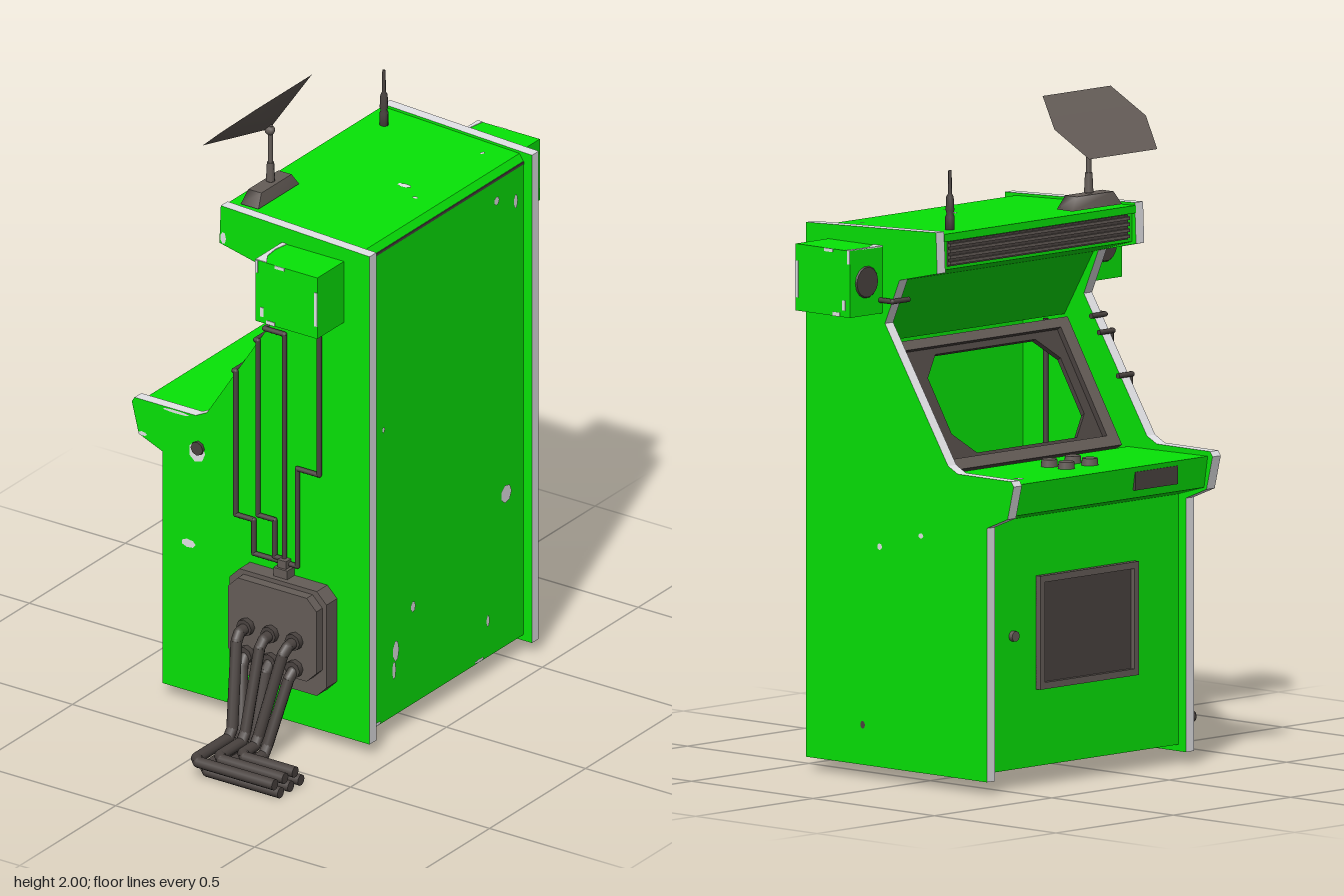
import * as THREE from 'three';

const mat = (name, color) => Object.assign(new THREE.MeshStandardMaterial({ color }), { name });

export function createModel() {
  const green = mat('green paint', 0x06e406);
  const grey = mat('bare metal', 0xe8e8ec);
  const dark = mat('dark metal', 0x655d58);
  const black = mat('blackened metal', 0x4a4340);
  const root = new THREE.Group();
  const V = (a) => new THREE.Vector3(...a);

  const add = (name, geo, material, pos = [0, 0, 0], parent = root) => {
    const m = new THREE.Mesh(geo, material);
    m.name = name;
    m.position.set(...pos);
    parent.add(m);
    return m;
  };
  const box = (name, material, x0, x1, y0, y1, z0, z1) =>
    add(name, new THREE.BoxGeometry(x1 - x0, y1 - y0, z1 - z0), material,
      [(x0 + x1) / 2, (y0 + y1) / 2, (z0 + z1) / 2]);
  const shapeOf = (pts) => new THREE.Shape(pts.map((p) => new THREE.Vector2(...p)));
  const slab = (name, pts, z0, z1, material) =>
    add(name, new THREE.ExtrudeGeometry(shapeOf(pts), { depth: z1 - z0, bevelEnabled: false }),
      material, [0, 0, z0]);
  // rectangle with cut corners
  const octagon = (x0, x1, y0, y1, c) => [[x0 + c, y0], [x1 - c, y0], [x1, y0 + c], [x1, y1 - c],
    [x1 - c, y1], [x0 + c, y1], [x0, y1 - c], [x0, y0 + c]];

  // straight pipe runs with ball joints
  const pipe = (name, pts, r) => {
    const g = new THREE.Group();
    g.name = name;
    root.add(g);
    const p = pts.map(V);
    for (let i = 0; i + 1 < p.length; i++) {
      const d = p[i + 1].clone().sub(p[i]);
      const m = add('run', new THREE.CylinderGeometry(r, r, d.length(), 10), black,
        p[i].clone().addScaledVector(d, 0.5).toArray(), g);
      m.quaternion.setFromUnitVectors(new THREE.Vector3(0, 1, 0), d.normalize());
      if (i) add('joint', new THREE.SphereGeometry(r, 10, 6), black, pts[i], g);
    }
  };

  // side panels: green faces, bare metal edges
  const side = [[-0.32, 0.04], [0.425, 0.04], [0.425, 1.64], [-0.11, 1.663], [-0.115, 1.54],
    [0.04, 1.505], [0.1, 1.37], [-0.16, 0.97], [-0.2, 0.95], [-0.42, 0.95], [-0.43, 0.935],
    [-0.405, 0.835], [-0.32, 0.8]];
  slab('sidePanel', side, 0.257, 0.292, [green, grey]);
  slab('sidePanel', side, -0.59, -0.555, [green, grey]);

  // cabinet body with a deep open screen bay
  slab('cabinetBody', [[-0.29, 0.06], [0.395, 0.06], [0.395, 1.61], [0.38, 1.634], [-0.113, 1.655],
    [-0.113, 1.632], [-0.098, 1.63], [-0.098, 1.545], [0.06, 1.5], [0.18, 1.3], [0.35, 1.28],
    [0.35, 0.6], [-0.08, 0.6], [-0.08, 0.93], [-0.41, 0.935], [-0.395, 0.84], [-0.29, 0.81]],
  -0.556, 0.258, green);
  box('backTopSeam', black, 0.385, 0.397, 1.604, 1.612, -0.555, 0.257);

  // screen bezel on the slope: plate with a cut-corner opening and a raised rim
  const up = new THREE.Vector3(0.23, 0.37, 0).normalize();
  const out = new THREE.Vector3(-up.y, up.x, 0);
  const bezelPart = (name, hole, from, depth, material) => {
    const s = shapeOf([[-0.405, -0.01], [0.38, -0.01], [0.38, 0.415], [-0.405, 0.415]]);
    s.holes.push(new THREE.Path(hole.map((p) => new THREE.Vector2(...p))));
    const m = add(name, new THREE.ExtrudeGeometry(s, { depth, bevelEnabled: false }), material);
    m.quaternion.setFromRotationMatrix(
      new THREE.Matrix4().makeBasis(new THREE.Vector3(0, 0, 1), up, out));
    m.position.set(-0.05, 0.93, -0.149).addScaledVector(out, from);
  };
  bezelPart('screenBezel', octagon(-0.265, 0.3, 0.04, 0.365, 0.07), 0, 0.015, black);
  bezelPart('screenRim', [[-0.35, 0.025], [0.335, 0.025], [0.335, 0.385], [-0.35, 0.385]],
    0.014, 0.018, [dark, black]);

  // marquee grille, tucked under the roof lip
  box('grillePanel', black, -0.104, -0.09, 1.555, 1.629, -0.53, 0.235);
  for (let i = 0; i < 4; i++) {
    const y = 1.56 + i * 0.018;
    box('grilleBar', dark, -0.111, -0.1, y, y + 0.009, -0.53, 0.235);
  }

  // control buttons and front plate
  for (const x of [-0.27, -0.2]) for (const z of [-0.2, -0.1]) {
    add('button', new THREE.CylinderGeometry(0.024, 0.026, 0.022, 12), dark, [x, 0.943, z]);
  }
  box('controlPlate', black, -0.41, -0.395, 0.865, 0.92, -0.05, 0.13);

  // coin door
  box('doorPanel', black, -0.295, -0.285, 0.29, 0.63, -0.35, 0.07);
  for (const y of [0.29, 0.61]) box('doorFrame', dark, -0.308, -0.288, y, y + 0.02, -0.35, 0.07);
  for (const z of [-0.35, 0.05]) box('doorFrame', dark, -0.308, -0.288, 0.29, 0.63, z, z + 0.02);
  const lock = add('doorLock', new THREE.CylinderGeometry(0.016, 0.016, 0.02, 10), dark,
    [-0.294, 0.46, -0.45]);
  lock.rotation.z = Math.PI / 2;

  // speaker boxes on both sides, with worn edges
  for (const s of [1, -1]) {
    const zc = s > 0 ? 0.36 : -0.658;
    box('speakerBox', green, 0.11, 0.333, 1.4, 1.6, zc - 0.071, zc + 0.071);
    const cone = add('speakerCone', new THREE.CylinderGeometry(0.045, 0.05, 0.006, 14), black,
      [0.109, 1.5, zc]);
    cone.rotation.z = Math.PI / 2;
    const worn = slab('speakerWornTop', [[0.11, -0.07], [0.128, -0.07], [0.12, -0.02],
      [0.126, 0.03], [0.15, 0.07], [0.11, 0.07]], -0.002, 0.002, grey);
    worn.rotation.x = Math.PI / 2;
    worn.position.set(0, 1.602, zc);
    const f = zc + s * 0.071;
    const strips = [[0.322, 0.333, 1.44, 1.55], [0.18, 0.215, 1.59, 1.6], [0.128, 0.14, 1.42, 1.45],
      [0.11, 0.12, 1.56, 1.6], [0.15, 0.18, 1.4, 1.412]];
    for (const [x0, x1, y0, y1] of strips) {
      box('speakerWornSide', grey, x0, x1, y0, y1, f - 0.002, f + 0.002);
    }
  }
  pipe('speakerCable', [[0.12, 1.44, -0.6], [0.06, 1.44, -0.6], [0.06, 1.44, -0.53]], 0.008);

  // six sided dish on a stand: flat face, smooth shallow back
  const rim = [[-0.095, 1.915, -0.07], [0.002, 2, -0.02], [0.002, 2, 0.27], [-0.095, 1.915, 0.32],
    [-0.19, 1.83, 0.27], [-0.19, 1.83, -0.02]];
  const dishGeo = new THREE.BufferGeometry();
  dishGeo.setAttribute('position', new THREE.Float32BufferAttribute(
    [...rim, [-0.095, 1.915, 0.125], ...rim, [-0.05, 1.865, 0.125]].flat(), 3));
  const faces = [];
  rim.forEach((_, i) => {
    const j = (i + 1) % 6;
    faces.push(j, i, 6, i + 7, j + 7, 13);
  });
  dishGeo.setIndex(faces);
  dishGeo.computeVertexNormals();
  add('dish', dishGeo, dark);
  add('dishPost', new THREE.CylinderGeometry(0.007, 0.009, 0.2, 8), dark, [-0.043, 1.78, 0.13]);
  add('dishCollar', new THREE.CylinderGeometry(0.011, 0.014, 0.06, 8), dark, [-0.043, 1.73, 0.13]);
  add('dishJoint', new THREE.SphereGeometry(0.016, 8, 6), dark, [-0.045, 1.865, 0.13]);
  const foot = add('dishFoot', new THREE.CylinderGeometry(0.74, 1, 0.04, 4), dark,
    [-0.043, 1.677, 0.133]);
  foot.geometry.rotateY(Math.PI / 4);
  foot.geometry.scale(0.045, 1, 0.15);
  foot.geometry.computeVertexNormals();

  // whip antenna
  add('antenna', new THREE.LatheGeometry([[0, 0], [0.014, 0], [0.014, 0.04], [0.01, 0.05],
    [0.013, 0.06], [0.011, 0.1], [0.006, 0.11], [0.005, 0.18], [0, 0.18]]
    .map((p) => new THREE.Vector2(...p)), 8), black, [-0.042, 1.65, -0.46]);

  // junction box
  slab('junctionBox', octagon(-0.04, 0.308, 0.18, 0.522, 0.035), 0.29, 0.347, dark);
  slab('junctionCover', octagon(-0.025, 0.293, 0.235, 0.508, 0.035), 0.346, 0.378, dark);
  box('junctionConnector', dark, 0.105, 0.155, 0.52, 0.55, 0.292, 0.33);
  box('junctionConnector', dark, 0.115, 0.145, 0.55, 0.575, 0.295, 0.322);

  // heavy hoses sweeping to the floor and off to the side
  for (let i = 0; i < 3; i++) {
    const x = 0.045 + i * 0.087, xf = 0.078 + i * 0.047;
    for (const [y, zo, yf, xo, zEnd] of [[0.36, 0.42, 0.058, 0, 0.71], [0.27, 0.39, 0.02, 0.012, 0.68]]) {
      const zf = zEnd - i * 0.053, xb = xf + xo;
      pipe('hose', [[x, y, 0.36], [x, y - 0.005, zo], [x + (xb - x) * 0.1, y - 0.025, zo + 0.02],
        [xb, yf + 0.025, zo + 0.085], [xb, yf, zo + 0.105], [xb, yf, zf - 0.02],
        [xb + 0.02, yf, zf], [0.373, yf, zf]], 0.0175);
      const nut = add('hoseNut', new THREE.CylinderGeometry(0.027, 0.027, 0.025, 8), black, [x, y, 0.385]);
      nut.rotation.x = Math.PI / 2;
    }
  }

  // thin conduits, three of them wrapping over the sloped edge
  const z = 0.301, zi = 0.24;
  const conduits = [
    [[-0.056, 1.14, zi], [-0.056, 1.14, z], [-0.05, 1.14, z], [-0.05, 0.67, z], [0.015, 0.67, z],
      [0.015, 0.56, z], [0.12, 0.56, z]],
    [[0.022, 1.262, zi], [0.022, 1.262, z], [0.03, 1.262, z], [0.03, 0.69, z], [0.09, 0.69, z],
      [0.09, 0.57, z], [0.12, 0.57, z]],
    [[0.054, 1.308, zi], [0.054, 1.308, z], [0.125, 1.308, z], [0.125, 0.56, z]],
    [[0.25, 1.42, z], [0.25, 0.88, z], [0.172, 0.88, z], [0.172, 0.56, z], [0.14, 0.56, z]],
    [[0.25, 1.28, 0.25], [0.25, 0.88, 0.25], [0.172, 0.88, 0.25], [0.172, 0.6, 0.25]],
  ];
  conduits.forEach((p) => pipe('conduit', p, 0.008));

  // worn spots: facing axis, position, half sizes
  const turns = { x: [0, Math.PI / 2], y: [-Math.PI / 2, 0], z: [0, 0], '-z': [0, Math.PI] };
  const spot = (axis, pos, w, h, material = grey) => {
    const m = add('wornSpot', new THREE.CircleGeometry(1, 7), material, pos);
    m.scale.set(w, h, 1);
    m.rotation.set(...turns[axis], 0);
  };
  const backSpots = [[0.56, -0.46, 0.028, 0.03], [0.27, 0.115, 0.016, 0.035], [0.21, 0.125, 0.01, 0.03],
    [0.38, 0.025, 0.012, 0.018], [0.18, -0.365, 0.008, 0.02], [1.54, -0.41, 0.014, 0.014],
    [1.5, -0.51, 0.01, 0.024], [1.02, 0.18, 0.007, 0.01], [1.16, -0.57, 0.01, 0.01],
    [0.068, 0.22, 0.03, 0.006], [0.068, -0.32, 0.025, 0.006], [1.59, 0.235, 0.015, 0.008]];
  for (const [y, zc, w, h] of backSpots) spot('x', [0.398, y, zc], w, h);
  spot('y', [-0.34, 0.939, -0.475], 0.02, 0.014);
  spot('y', [0.235, 1.643, -0.165], 0.024, 0.012);
  spot('y', [0.305, 1.64, -0.12], 0.01, 0.007);
  spot('y', [0.295, 1.64, -0.485], 0.006, 0.01);
  spot('z', [-0.195, 0.832, 0.294], 0.03, 0.034);
  spot('z', [-0.225, 0.525, 0.294], 0.026, 0.014);
  spot('z', [-0.39, 0.84, 0.294], 0.016, 0.007);
  spot('z', [-0.1, 1.56, 0.294], 0.01, 0.02);
  spot('z', [-0.27, 0.943, 0.294], 0.05, 0.005);
  spot('-z', [0.12, 0.7, -0.592], 0.01, 0.01);
  spot('-z', [-0.05, 0.75, -0.592], 0.01, 0.008);
  spot('-z', [0.19, 0.16, -0.592], 0.01, 0.012, black);
  const key = add('sideLock', new THREE.CylinderGeometry(0.022, 0.022, 0.012, 8), black, [-0.19, 0.847, 0.296]);
  key.rotation.x = Math.PI / 2;

  return root;
}
